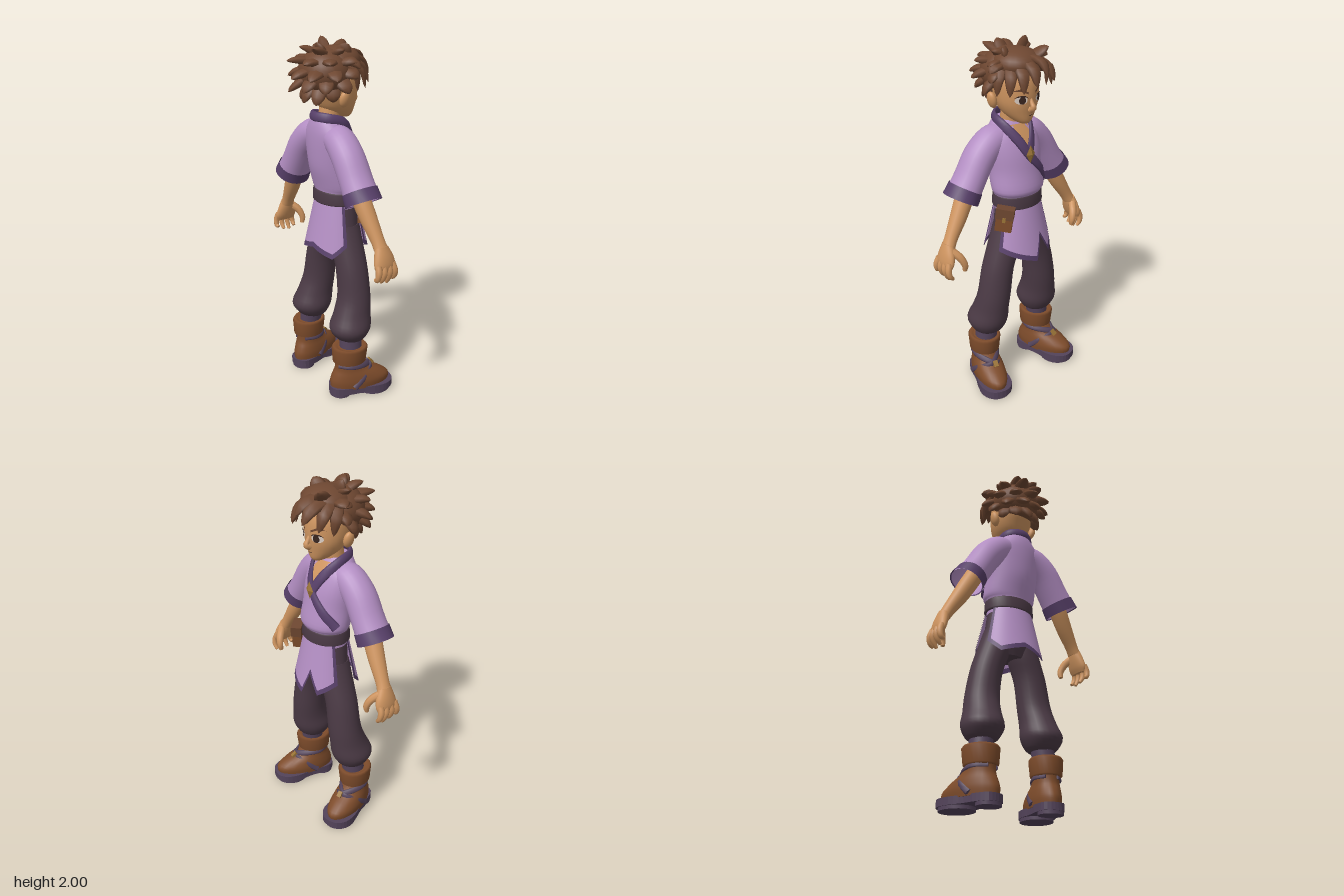
import * as THREE from 'three';

const V = (x, y, z) => new THREE.Vector3(x, y, z);
const paint = (name, color, side = THREE.FrontSide) => {
  const m = new THREE.MeshStandardMaterial({ color, side });
  m.name = name;
  return m;
};

export function createModel() {
  const D = THREE.DoubleSide;
  const skin = paint('skin', 0xcf9560), hair = paint('hair brown', 0x6e4731);
  const lilac = paint('lilac cloth', 0xb48fc4, D), trim = paint('purple trim', 0x58406a, D);
  const dark = paint('dark cloth', 0x4b3a45), leather = paint('leather', 0x7e4c2b);
  const strap = paint('strap purple', 0x53435a), gold = paint('brass', 0x9a7437);
  const white = paint('eye white', 0xe0d2c8), iris = paint('iris', 0x3a2620);

  const body = new THREE.Group();
  body.name = 'figure';
  body.rotation.y = Math.PI / 2; // built facing +z, then turned to look along +x
  const add = (name, geo, mat, parent = body) => {
    const m = new THREE.Mesh(geo, mat);
    m.name = name;
    parent.add(m);
    return m;
  };

  // Joins closed rows of points into a smooth surface, optionally capped
  function surface(rows, caps = true) {
    const n = rows[0].length, pos = [], idx = [];
    rows.forEach(r => r.forEach(p => pos.push(p.x, p.y, p.z)));
    for (let i = 0; i < rows.length - 1; i++) for (let j = 0; j < n; j++) {
      const a = i * n + j, b = i * n + (j + 1) % n;
      idx.push(a, b, a + n, b, b + n, a + n);
    }
    if (caps) [0, rows.length - 1].forEach((r, end) => {
      const start = pos.length / 3, c = V(0, 0, 0);
      rows[r].forEach(p => { c.addScaledVector(p, 1 / n); pos.push(p.x, p.y, p.z); });
      pos.push(c.x, c.y, c.z);
      for (let j = 0; j < n; j++) {
        const a = start + j, b = start + (j + 1) % n;
        if (end) idx.push(a, b, start + n); else idx.push(b, a, start + n);
      }
    });
    const g = new THREE.BufferGeometry();
    g.setAttribute('position', new THREE.Float32BufferAttribute(pos, 3));
    g.setIndex(idx);
    g.computeVertexNormals();
    return g;
  }

  // Rings from bottom to top: [x, y, z, radiusX, radiusZ, tilt]
  const dense = (rings, steps = 4) => {
    const out = [], at = i => rings[Math.min(Math.max(i, 0), rings.length - 1)];
    for (let i = 0; i < rings.length - 1; i++) for (let s = 0; s < steps; s++) {
      const t = s / steps;
      out.push([0, 1, 2, 3, 4, 5].map(k => {
        const [a, b, c, d] = [-1, 0, 1, 2].map(o => at(i + o)[k] || 0);
        return b + 0.5 * t * (c - a + t * (2 * a - 5 * b + 4 * c - d + t * (3 * (b - c) + d - a)));
      }));
    }
    out.push(rings[rings.length - 1]);
    return out;
  };
  const loft = (rings, { steps = 4, caps = true, n = 24, s = 1 } = {}) =>
    surface(dense(rings, steps).map(([x, y, z, rx, rz, tilt = 0]) => Array.from({ length: n }, (_, j) => {
      const a = j / n * Math.PI * 2, c = rx * Math.cos(a);
      return V(s * x + c * Math.cos(tilt), y + s * c * Math.sin(tilt), z - rz * Math.sin(a));
    })), caps);

  // Flattened tube along a curve, thin along the direction given by ref
  function sweep(pts, radius, flat, ref, n = 8, steps = 10) {
    const curve = new THREE.CatmullRomCurve3(pts), rows = [];
    for (let i = 0; i <= steps; i++) {
      const t = i / steps, p = curve.getPoint(t), T = curve.getTangent(t), N = ref(p).clone();
      N.addScaledVector(T, -N.dot(T)).normalize();
      const B = T.clone().cross(N), r = radius(t);
      rows.push(Array.from({ length: n }, (_, j) => {
        const a = j / n * Math.PI * 2;
        return p.clone().addScaledVector(N, Math.cos(a) * r * flat).addScaledVector(B, Math.sin(a) * r);
      }));
    }
    return surface(rows);
  }

  // Thin plate laid onto the front of a lofted form
  function drape(points, rings, off) {
    const g = new THREE.ShapeGeometry(new THREE.Shape(points.map(p => new THREE.Vector2(...p))));
    const p = g.attributes.position, d = dense(rings);
    for (let i = 0; i < p.count; i++) {
      const x = p.getX(i), y = p.getY(i);
      const k = Math.max(0, d.findIndex((r, q) => q + 1 === d.length - 1 || d[q + 1][1] >= y));
      const t = (y - d[k][1]) / (d[k + 1][1] - d[k][1]), f = c => d[k][c] + t * (d[k + 1][c] - d[k][c]);
      p.setZ(i, f(2) + f(4) * Math.sqrt(Math.max(0, 1 - (x / f(3)) ** 2)) + off);
    }
    g.computeVertexNormals();
    return g;
  }
  const oval = (x, y, rx, ry) => Array.from({ length: 16 }, (_, i) =>
    [x + rx * Math.cos(i * Math.PI / 8), y + ry * Math.sin(i * Math.PI / 8)]);
  const ball = (name, mat, x, y, z, a, b, c) => {
    const m = add(name, new THREE.SphereGeometry(1, 24, 16), mat);
    m.position.set(x, y, z);
    m.scale.set(a, b, c);
    return m;
  };

  // Head and face
  const head = [[0, 1.583, 0.09, 0.026, 0.028], [0, 1.60, 0.07, 0.052, 0.06], [0, 1.64, 0.042, 0.088, 0.096],
    [0, 1.69, 0.03, 0.112, 0.116], [0, 1.75, 0.018, 0.122, 0.13], [0, 1.81, 0.01, 0.122, 0.13],
    [0, 1.87, 0, 0.1, 0.11], [0, 1.92, -0.01, 0.05, 0.05]];
  add('head', loft(head), skin);
  add('neck', loft([[0, 1.47, -0.01, 0.08, 0.07], [0, 1.55, -0.015, 0.06, 0.058], [0, 1.66, 0, 0.056, 0.058]]), skin);
  add('nose', sweep([V(0, 1.725, 0.137), V(0, 1.695, 0.152), V(0, 1.675, 0.162), V(0, 1.662, 0.14)],
    t => 0.008 + 0.011 * t, 1, () => V(0, 0.3, 1)), skin);
  add('mouth', drape([[-0.024, 1.634], [0, 1.628], [0.024, 1.634], [0, 1.632]], head, 0.004), iris);
  for (const s of [-1, 1]) {
    const at = pts => pts.map(([x, y]) => [s * x, y]);
    ball('ear', skin, s * 0.132, 1.705, -0.005, 0.022, 0.045, 0.03).rotation.z = -s * 0.25;
    add('eyeWhite', drape(oval(s * 0.056, 1.718, 0.029, 0.021), head, 0.003), white);
    add('iris', drape(oval(s * 0.054, 1.718, 0.016, 0.02), head, 0.006), iris);
    add('eyelid', drape(at([[0.024, 1.727], [0.04, 1.742], [0.07, 1.743], [0.09, 1.729], [0.07, 1.736], [0.04, 1.735]]), head, 0.007), iris);
    add('eyebrow', drape(at([[0.022, 1.757], [0.06, 1.777], [0.096, 1.764], [0.06, 1.765], [0.024, 1.747]]), head, 0.005), hair);
  }

  // Hair: two rounded masses covered in pointed locks
  const C = V(0, 1.82, -0.01);
  ball('hairCap', hair, 0, 1.83, -0.035, 0.148, 0.125, 0.14);
  ball('hairFringeBase', hair, 0, 1.885, 0.035, 0.128, 0.077, 0.13);
  const lock = (b, t, r, bulge) => {
    const mid = b.clone().lerp(t, 0.5);
    mid.addScaledVector(mid.clone().sub(C).normalize(), bulge);
    add('hairLock', sweep([b, mid, t], u => r * Math.sqrt(Math.max(0, 1 - u)) * (0.75 + 0.6 * u * (1 - u)),
      0.5, p => p.clone().sub(C), 7, 8), hair);
  };
  [[-0.85, 5, 1.15], [-0.45, 6, 1.5], [-0.05, 7, 1.75], [0.4, 6, 1.7], [0.85, 4, 1.5]].forEach(([e, n, spread], row) => {
    for (let i = 0; i < n; i++) {
      const yaw = spread * (2 * i / (n - 1) - 1), long = 0.93 + 0.1 * ((i * 3 + row * 2) % 4) / 3;
      const d = (a, p) => V(Math.sin(a) * Math.cos(p), Math.sin(p), -Math.cos(a) * Math.cos(p));
      lock(d(yaw, e + 0.3).multiply(V(0.11, 0.10, 0.12)).add(C),
        d(yaw * 1.05, e).multiply(V(0.2, 0.185, 0.245)).multiplyScalar(long).add(C), 0.058, 0.015);
    }
  });
  [[-0.13, 1.745, 0.13, 0.05], [-0.085, 1.765, 0.185, 0.055], [-0.035, 1.80, 0.225, 0.06], [0.07, 1.815, 0.235, 0.06],
    [0.115, 1.775, 0.17, 0.055], [0.145, 1.75, 0.1, 0.05], [-0.155, 1.74, 0.06, 0.05], [0.02, 1.85, 0.24, 0.055]]
    .forEach(([x, y, z, r]) => lock(V(0.02 + x * 0.35, 1.92, z * 0.2), V(x, y, z), r, 0.05));
  [[0.09, 2.0, 0.0], [0.1, 1.97, 0.16], [-0.1, 1.975, 0.04], [-0.02, 1.985, -0.1], [-0.19, 1.86, 0.05], [0.19, 1.9, 0.06]]
    .forEach(([x, y, z]) => lock(V(x * 0.4, 1.89, z * 0.4), V(x, y, z), 0.058, 0.025));

  // Tunic
  const torso = [[0, 1.10, 0.04, 0.135, 0.105], [0, 1.18, 0.04, 0.138, 0.11], [0, 1.22, 0.043, 0.156, 0.122],
    [0, 1.32, 0.02, 0.155, 0.125], [0, 1.42, 0.005, 0.163, 0.12], [0, 1.50, -0.012, 0.16, 0.105],
    [0, 1.55, -0.025, 0.12, 0.088], [0, 1.585, -0.035, 0.085, 0.07]];
  add('tunicBody', loft(torso, { n: 32 }), lilac);
  add('openNeckSkin', drape([[-0.07, 1.565], [-0.04, 1.5], [0, 1.43], [0.04, 1.5], [0.07, 1.565], [0, 1.565]], torso, 0.006), skin);
  const around = p => V(p.x, 0.02, p.z + 0.02);
  add('collar', sweep([V(0.15, 1.235, 0.085), V(0.085, 1.32, 0.13), V(0, 1.415, 0.132), V(-0.05, 1.50, 0.098), V(-0.092, 1.575, 0.02),
    V(-0.075, 1.60, -0.065), V(0, 1.605, -0.1), V(0.075, 1.60, -0.065), V(0.092, 1.575, 0.02), V(0.05, 1.50, 0.098),
    V(0, 1.405, 0.136)], () => 0.026, 0.42, around, 8, 60), trim);
  const brooch = add('brooch', new THREE.OctahedronGeometry(1), gold);
  brooch.position.set(0, 1.42, 0.145);
  brooch.scale.set(0.03, 0.05, 0.014);
  add('belt', loft([[0, 1.118, 0.04, 0.142, 0.115], [0, 1.125, 0.04, 0.148, 0.121], [0, 1.182, 0.04, 0.145, 0.118],
    [0, 1.19, 0.04, 0.138, 0.111]], { steps: 1, n: 32 }), dark);

  // Skirt panels with pointed hems and trimmed edges
  const hem = (pts, u) => {
    const k = Math.min(pts.length - 2, Math.max(0, pts.findIndex(p => p[0] >= u - 1e-6) - 1));
    const [a, b] = [pts[k], pts[k + 1]];
    return a[1] + (b[1] - a[1]) * (u - a[0]) / (b[0] - a[0]);
  };
  const panel = (name, u0, u1, top, low, dir, mat, off = 0) => {
    const g = new THREE.PlaneGeometry(1, 1, Math.max(2, Math.round((u1 - u0) * 20)), 8), p = g.attributes.position;
    for (let i = 0; i < p.count; i++) {
      const u = u0 + (u1 - u0) * (p.getX(i) + 0.5), y = low(u) + (top(u) - low(u)) * (p.getY(i) + 0.5);
      const s = (1.13 - y) / 0.3, a = u * 1.2;
      p.setXYZ(i, dir * (0.137 + 0.07 * s + off) * Math.sin(a), y, 0.04 + dir * (0.11 + 0.06 * s + off) * Math.cos(a));
    }
    g.computeVertexNormals();
    add(name, g, mat);
  };
  for (const [dir, pts] of [[1, [[-1, 0.89], [0, 0.81], [0.2, 0.94], [0.45, 0.83], [1, 0.9]]],
    [-1, [[-1, 0.9], [-0.6, 0.83], [0, 0.87], [0.6, 0.83], [1, 0.9]]]]) {
    const low = u => hem(pts, u), edge = u => low(u) + 0.028, top = () => 1.13;
    panel('skirtPanel', -1, 1, top, edge, dir, lilac);
    panel('skirtHem', -1, 1, edge, low, dir, trim);
    panel('skirtEdge', -1, -0.9, top, low, dir, trim, 0.003);
    panel('skirtEdge', 0.9, 1, top, low, dir, trim, 0.003);
  }

  // Belt pouch
  const pouch = new THREE.Group();
  pouch.name = 'pouch';
  pouch.position.set(-0.155, 1.085, 0.115);
  pouch.rotation.set(0, -0.85, -0.12);
  body.add(pouch);
  const box = (name, w, h, d, x, y, z, mat) => add(name, new THREE.BoxGeometry(w, h, d), mat, pouch).position.set(x, y, z);
  box('pouchBag', 0.09, 0.125, 0.05, 0, -0.005, 0, leather);
  box('pouchFlap', 0.098, 0.06, 0.058, 0, 0.035, 0.002, hair);
  box('pouchClasp', 0.018, 0.026, 0.01, 0, 0.005, 0.032, gold);

  // Hips
  add('hips', loft([[0, 0.85, 0.04, 0.08, 0.075], [0, 0.93, 0.04, 0.15, 0.095], [0, 1.03, 0.04, 0.145, 0.1], [0, 1.12, 0.04, 0.13, 0.1]]), dark);

  for (const s of [-1, 1]) {
    // Sleeve and cuff
    add('sleeve', loft([[0.33, 1.207, -0.03, 0.091, 0.096, 0.5], [0.27, 1.30, -0.03, 0.083, 0.092, 0.56], [0.2, 1.41, -0.03, 0.085, 0.09, 0.75],
      [0.12, 1.48, -0.025, 0.083, 0.085, 1.1], [0.04, 1.505, -0.02, 0.065, 0.075, 1.3]], { caps: false, s }), lilac);
    add('sleeveCuff', loft([[0.333, 1.203, -0.03, 0.097, 0.101, 0.5], [0.298, 1.259, -0.03, 0.09, 0.098, 0.53]],
      { caps: false, steps: 1, s }), trim);
    // Forearm and hand
    add('forearm', loft([[0.445, 0.975, 0, 0.033, 0.04, 0.35], [0.42, 1.02, -0.005, 0.035, 0.037, 0.5], [0.365, 1.11, -0.015, 0.045, 0.045, 0.5],
      [0.315, 1.2, -0.025, 0.05, 0.05, 0.5], [0.26, 1.3, -0.03, 0.05, 0.05, 0.5]], { s }), skin);
    add('palm', loft([[0.477, 0.865, 0.005, 0.018, 0.055], [0.472, 0.895, 0.005, 0.028, 0.066, 0.1], [0.46, 0.94, 0.005, 0.032, 0.058, 0.2],
      [0.445, 0.99, 0, 0.03, 0.038, 0.35]], { s }), skin);
    [[-0.05, 0.825], [-0.014, 0.803], [0.022, 0.795], [0.056, 0.81]].forEach(([z, y]) =>
      add('finger', sweep([V(s * 0.478, 0.905, z * 0.85), V(s * 0.492, 0.865, z), V(s * 0.485, 0.83, z * 1.08), V(s * 0.466, y, z * 1.05)],
        t => 0.018 - 0.009 * t * t, 1, () => V(1, 0, 0)), skin));
    add('thumb', sweep([V(s * 0.45, 0.96, 0.03), V(s * 0.42, 0.925, 0.065), V(s * 0.402, 0.88, 0.08), V(s * 0.4, 0.845, 0.076)],
      t => 0.023 - 0.011 * t * t, 1, () => V(1, 0, 0)), skin);

    // Trouser leg and sock
    add('trouserLeg', loft([[0.19, 0.345, 0.005, 0.072, 0.068], [0.19, 0.365, 0.002, 0.092, 0.092], [0.19, 0.42, 0, 0.114, 0.12],
      [0.182, 0.5, 0.02, 0.1, 0.108], [0.17, 0.6, 0.04, 0.094, 0.094], [0.145, 0.75, 0.042, 0.09, 0.09],
      [0.1, 0.88, 0.042, 0.093, 0.09], [0.075, 1.0, 0.042, 0.075, 0.085]], { s }), dark);
    add('sock', loft([[0.205, 0.26, -0.005, 0.062, 0.066], [0.195, 0.36, 0, 0.062, 0.066]], { s, steps: 1 }), strap);

    // Boot, turned slightly outwards
    const foot = new THREE.Group();
    foot.name = 'boot';
    foot.position.set(s * 0.21, 0, 0);
    foot.rotation.y = s * 0.29;
    body.add(foot);
    const outline = [[0, -0.135], [0.055, -0.115], [0.074, -0.05], [0.078, 0.03], [0.094, 0.12], [0.082, 0.195], [0.04, 0.238]];
    const loop = [...outline, ...outline.slice(1).reverse().map(([x, z]) => [-x, z])];
    const shape = new THREE.Shape(new THREE.CatmullRomCurve3(loop.map(([x, z]) => V(x, -z, 0)), true)
      .getPoints(40).slice(0, -1).map(p => new THREE.Vector2(p.x, p.y)));
    const sole = new THREE.ExtrudeGeometry(shape, { depth: 0.04, bevelEnabled: false });
    add('sole', sole.rotateX(-Math.PI / 2).translate(0, 0.018, 0), strap, foot);
    for (const [z, rx, rz] of [[-0.07, 0.068, 0.062], [0.135, 0.09, 0.1]])
      add('tread', loft([[0, 0, z, rx, rz], [0, 0.03, z, rx, rz]], { steps: 1 }), strap, foot);
    add('bootUpper', loft([[0, 0.05, 0.048, 0.083, 0.176], [0, 0.09, 0.048, 0.087, 0.178], [0, 0.13, 0.028, 0.082, 0.145],
      [0, 0.17, 0, 0.072, 0.1], [0, 0.225, -0.018, 0.066, 0.08]]), leather, foot);
    add('bootCuff', loft([[0, 0.205, -0.016, 0.072, 0.085], [0, 0.212, -0.016, 0.085, 0.097], [0, 0.295, -0.014, 0.092, 0.105],
      [0, 0.308, -0.014, 0.084, 0.096], [0, 0.3, -0.014, 0.064, 0.07]], { steps: 1 }), leather, foot);
    for (const q of [-1, 1])
      add('bootStrap', sweep([V(q * 0.084, 0.065, -0.01), V(q * 0.074, 0.125, 0.06), V(q * 0.01, 0.165, 0.112),
        V(-q * 0.056, 0.19, 0.045), V(-q * 0.07, 0.2, -0.03), V(-q * 0.03, 0.2, -0.09)], () => 0.017, 0.45,
        p => V(p.x, 0.04, p.z), 8, 20), strap, foot);
    const buckle = add('buckle', new THREE.BoxGeometry(0.026, 0.036, 0.014), gold, foot);
    buckle.position.set(-s * 0.012, 0.167, 0.122);
    buckle.rotation.x = -0.8;
  }

  const model = new THREE.Group();
  model.name = 'adventurer';
  model.add(body);
  return model;
}
